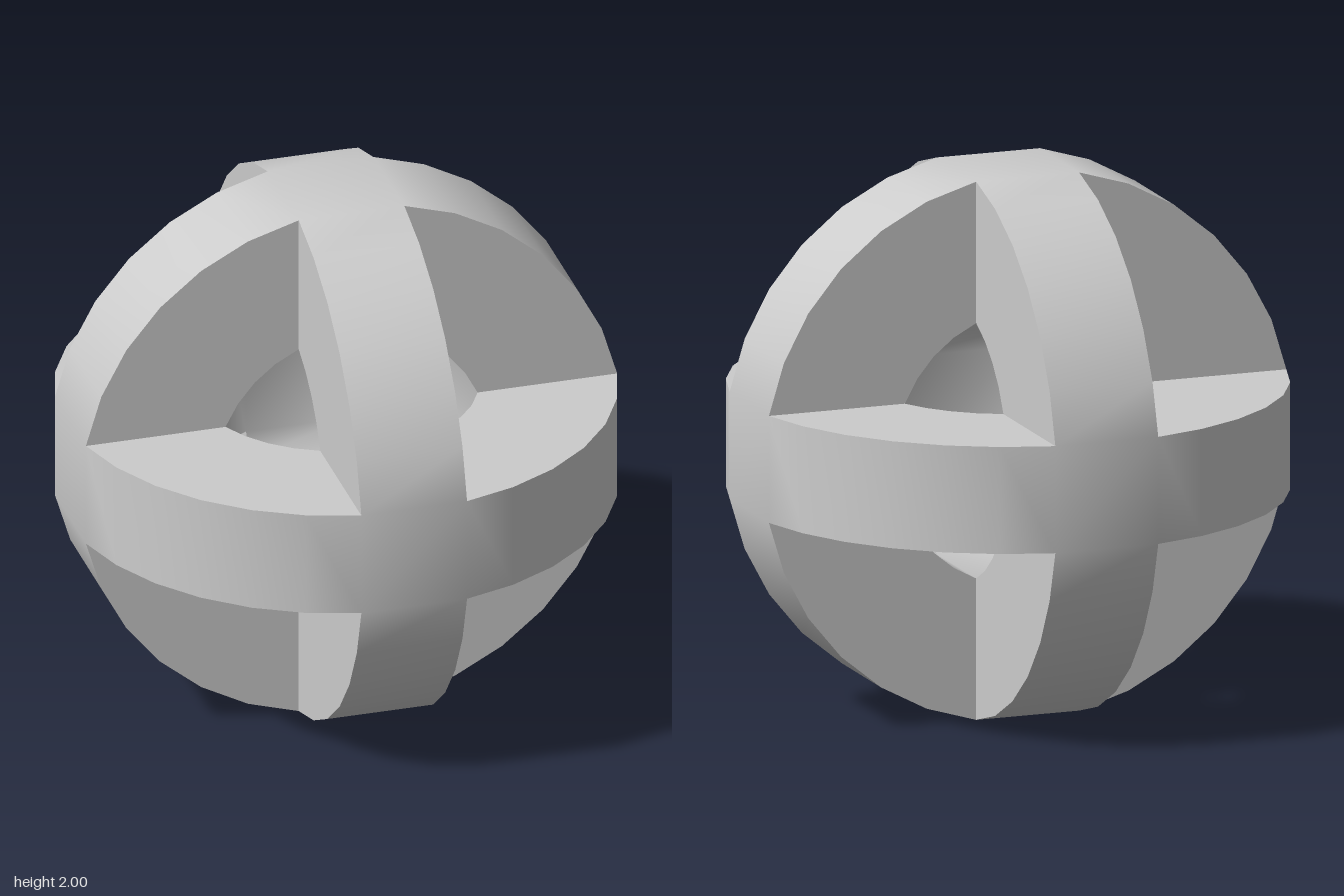
import * as THREE from 'three';
import { mergeGeometries, toCreasedNormals } from 'three/addons/utils/BufferGeometryUtils.js';

const OUTER = 1.0197; // outer radius of each band
const INNER = 0.5145; // inner radius of each band
const STEP = Math.PI / 16;
const HALF = OUTER * Math.sin(STEP); // half width of a band

const arc = (radius, from, to, n) => Array.from({ length: n + 1 }, (_, i) => {
  const a = from + (to - from) * i / n;
  return new THREE.Vector2(radius * Math.cos(a), radius * Math.sin(a));
});

// One quarter band between two crossings, open at both ends
function quarterBand() {
  const start = Math.asin(HALF / INNER);
  const outer = arc(OUTER, STEP, Math.PI / 2 - STEP, 6);
  const inner = arc(INNER, Math.PI / 2 - start, start, 4);
  const contour = [...outer, ...inner];
  const pos = [];
  const put = (p, z) => pos.push(p.x, p.y, z);

  // flat side walls
  for (const [a, b, c] of THREE.ShapeUtils.triangulateShape(contour, [])) {
    for (const i of [a, b, c]) put(contour[i], HALF);
    for (const i of [c, b, a]) put(contour[i], -HALF);
  }
  // curved outer and inner surfaces
  for (const line of [outer, inner]) {
    for (let i = 0; i < line.length - 1; i++) {
      const p = line[i], q = line[i + 1];
      put(p, HALF); put(p, -HALF); put(q, -HALF);
      put(p, HALF); put(q, -HALF); put(q, HALF);
    }
  }
  const g = new THREE.BufferGeometry();
  g.setAttribute('position', new THREE.Float32BufferAttribute(pos, 3));
  return g;
}

// Square outer and inner faces where two bands cross, on +z
function crossing() {
  const plane = new THREE.PlaneGeometry(2 * HALF, 2 * HALF).toNonIndexed();
  plane.deleteAttribute('uv');
  plane.deleteAttribute('normal');
  const zIn = Math.sqrt(INNER * INNER - HALF * HALF);
  return mergeGeometries([
    plane.clone().translate(0, 0, OUTER * Math.cos(STEP)),
    plane.clone().rotateY(Math.PI).translate(0, 0, zIn),
  ]);
}

export function createModel() {
  const group = new THREE.Group();
  group.name = 'interlockedRings';
  const grey = new THREE.MeshStandardMaterial({ color: 0xcccccc });
  grey.name = 'grey';

  const parts = [];
  const quarter = Math.PI / 2;
  // three perpendicular bands of four quarters each
  for (const turn of ['none', 'rotateX', 'rotateY']) {
    for (let i = 0; i < 4; i++) {
      const g = quarterBand().rotateZ(i * quarter);
      if (turn !== 'none') g[turn](quarter);
      parts.push(g);
    }
  }
  // six crossings
  for (let i = 0; i < 4; i++) parts.push(crossing().rotateY(i * quarter));
  for (const s of [-1, 1]) parts.push(crossing().rotateX(s * quarter));

  const frame = new THREE.Mesh(toCreasedNormals(mergeGeometries(parts), 0.8), grey);
  frame.name = 'crossedRingFrame';
  frame.position.y = 1;
  group.add(frame);
  return group;
}
